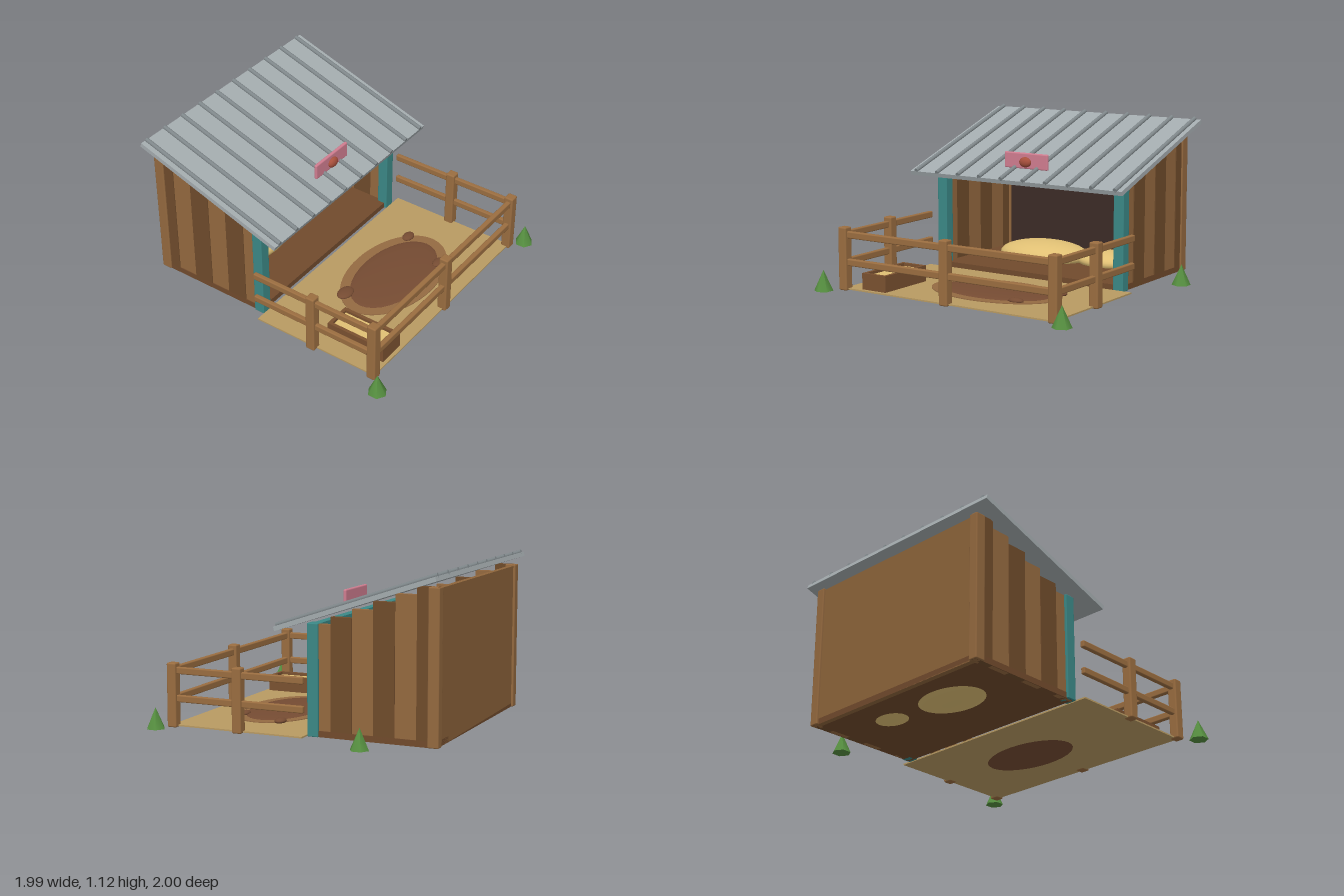
import * as THREE from 'three';
import { RoundedBoxGeometry } from 'three/addons/geometries/RoundedBoxGeometry.js';

const COLORS = {
  plankLight: 0x94693f, plankDark: 0x6f4b2b, wall: 0x8d643a, inside: 0x3c2b27,
  floor: 0x714a2c, teal: 0x3b8886, roof: 0xa3abae, rib: 0x7f878a, hay: 0xe0c074,
  yard: 0xb89a62, mudRim: 0x946a42, mud: 0x754b32, fence: 0x9a6d40,
  trough: 0x7a5130, pink: 0xd07d90, emblem: 0xa8503c, grass: 0x568f40,
};
const materials = {};
for (const key in COLORS) materials[key] = new THREE.MeshStandardMaterial({ color: COLORS[key] });

const CX = -0.015;  // middle of the building
const GROUND = 0.03;

export function createModel() {
  const model = new THREE.Group();
  model.name = 'animalShelter';

  function add(name, geometry, color, x, y, z, parent = model) {
    const mesh = new THREE.Mesh(geometry, materials[color]);
    mesh.name = name;
    mesh.position.set(x, y, z);
    parent.add(mesh);
    return mesh;
  }
  // Box given by its limits on each axis
  function box(name, color, [x0, x1], [y0, y1], [z0, z1], bevel = 0) {
    const s = [x1 - x0, y1 - y0, z1 - z0];
    const g = bevel ? new RoundedBoxGeometry(...s, 2, bevel) : new THREE.BoxGeometry(...s);
    return add(name, g, color, (x0 + x1) / 2, (y0 + y1) / 2, (z0 + z1) / 2);
  }
  function blob(name, color, x, y, z, rx, ry, rz) {
    const g = new THREE.SphereGeometry(1, 32, 16).scale(rx, ry, rz);
    return add(name, g, color, x, y, z);
  }

  // Yard and shelter floor
  box('yard', 'yard', [CX - 0.825, CX + 0.825], [GROUND, 0.04], [-0.095, 0.84]);
  box('floor', 'floor', [CX - 0.745, CX + 0.745], [GROUND, 0.07], [-0.97, -0.12]);

  // Back wall with dark lining
  box('backWall', 'wall', [CX - 0.74, CX + 0.74], [GROUND, 1.01], [-0.97, -0.935]);
  box('backLining', 'inside', [CX - 0.71, CX + 0.71], [0.07, 1.0], [-0.935, -0.925]);

  // Side walls of stepped planks, front and back corner posts
  const plankTops = [0.75, 0.80, 0.857, 0.913, 0.968, 1.02];
  for (const side of [-1, 1]) {
    const span = (a, b) => [CX + side * a, CX + side * b].sort((p, q) => p - q);
    plankTops.forEach((top, i) => {
      const z = -0.115 - i * 0.144;
      const out = i % 2 ? 0.745 : 0.74;
      box('sidePlank', i % 2 ? 'plankDark' : 'plankLight',
        span(0.705, out), [GROUND, top], [z - 0.144, z]);
    });
    box('backPost', 'plankLight', span(0.69, 0.755), [GROUND, 1.02], [-0.985, -0.91], 0.008);
    box('frontPost', 'teal', span(0.68, 0.757), [GROUND, 0.755], [-0.175, -0.1], 0.006);
  }
  box('lintel', 'teal', [CX - 0.7, CX + 0.7], [0.69, 0.75], [-0.165, -0.11]);

  // Sloping metal roof with ribs
  const roof = new THREE.Group();
  roof.name = 'roof';
  roof.position.set(CX, 0.9, -0.455);
  roof.rotation.x = 0.325;
  model.add(roof);
  add('roofSheet', new THREE.BoxGeometry(1.7, 0.03, 1.14), 'roof', 0, 0, 0, roof);
  const ribGeometry = new THREE.CylinderGeometry(0.015, 0.015, 1.14, 10).rotateX(Math.PI / 2);
  for (let i = 0; i < 10; i++) {
    add('roofRib', ribGeometry, 'rib', -0.8 + i * 0.1778, 0.02, 0, roof);
  }

  // Blank sign with a round emblem
  box('sign', 'pink', [CX - 0.175, CX + 0.175], [0.79, 0.9], [-0.107, -0.083], 0.01);
  blob('signEmblem', 'emblem', CX, 0.838, -0.078, 0.046, 0.035, 0.025);

  // Straw bedding
  blob('strawLarge', 'hay', -0.225, 0.097, -0.645, 0.345, 0.097, 0.24);
  blob('strawSmall', 'hay', 0.275, 0.092, -0.69, 0.225, 0.074, 0.17);

  // Mud wallow with clods
  const rim = new THREE.CylinderGeometry(1, 1, 0.012, 48).scale(0.48, 1, 0.3);
  add('mudRim', rim, 'mudRim', 0.063, 0.039, 0.378);
  blob('mud', 'mud', 0.063, 0.042, 0.378, 0.415, 0.022, 0.235);
  for (const [x, z, rx, rz] of [[-0.298, 0.227, 0.07, 0.05], [0.462, 0.228, 0.052, 0.037], [0.34, 0.557, 0.055, 0.034]]) {
    blob('mudClod', 'mud', x, 0.05, z, rx, 0.02, rz);
  }

  // Feeding trough
  const tx = [-0.71, -0.515], tz = [0.38, 0.815], ty = [0.04, 0.15], t = 0.023;
  box('troughSide', 'trough', [tx[0], tx[0] + t], ty, tz);
  box('troughSide', 'trough', [tx[1] - t, tx[1]], ty, tz);
  box('troughEnd', 'trough', [tx[0] + t, tx[1] - t], ty, [tz[0], tz[0] + t]);
  box('troughEnd', 'trough', [tx[0] + t, tx[1] - t], ty, [tz[1] - t, tz[1]]);
  box('feed', 'hay', [tx[0] + t, tx[1] - t], [0.04, 0.13], [tz[0] + t, tz[1] - t]);

  // Fence posts and rails
  const half = 0.825, front = 0.83;
  for (const [x, z] of [[-half, front], [0, front], [half, front], [-half, 0.355], [half, 0.355]]) {
    add('fencePost', new RoundedBoxGeometry(0.066, 0.425, 0.066, 2, 0.01), 'fence', CX + x, 0.2375, z);
  }
  for (const y of [0.4, 0.215]) {
    const h = [y - 0.023, y + 0.023];
    box('frontRail', 'fence', [CX - half, CX + half], h, [front - 0.018, front + 0.018], 0.008);
    for (const x of [CX - half, CX + half]) {
      box('sideRail', 'fence', [x - 0.016, x + 0.016], h, [-0.11, front], 0.008);
    }
  }

  // Grass tufts
  for (const [x, z] of [[-0.943, 0.933], [0.91, 0.908], [0.936, -0.548]]) {
    add('grassTuft', new THREE.ConeGeometry(0.064, 0.14, 6), 'grass', x, 0.095, z);
  }
  return model;
}
